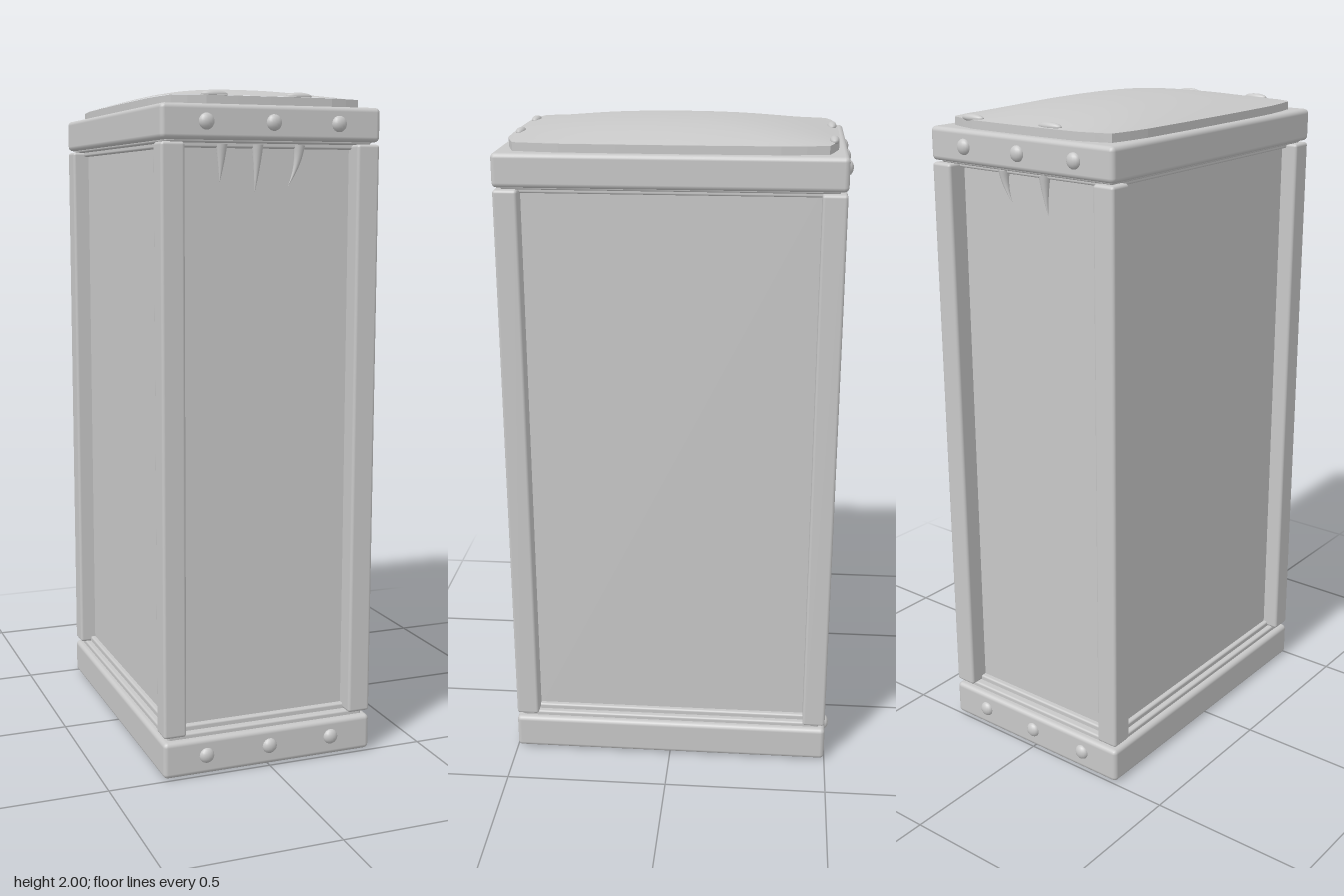
import * as THREE from 'three';
import { RoundedBoxGeometry } from 'three/addons/geometries/RoundedBoxGeometry.js';

export function createModel() {
  const model = new THREE.Group();
  const stone = new THREE.MeshStandardMaterial({ color: 0xc8c8c8 });
  stone.name = 'greyStone';

  const add = (name, geometry, x = 0, y = 0, z = 0) => {
    const mesh = new THREE.Mesh(geometry, stone);
    mesh.name = name;
    mesh.position.set(x, y, z);
    model.add(mesh);
    return mesh;
  };
  // Bevelled block spanning y0..y1
  const block = (name, w, d, y0, y1, x = 0, z = 0, r = 0.01) =>
    add(name, new RoundedBoxGeometry(w, y1 - y0, d, 2, r), x, (y0 + y1) / 2, z);

  // Slabs, stepped trims and recessed core
  block('foot', 0.63, 0.96, 0, 0.03, 0, 0, 0.004);
  block('baseSlab', 0.664, 0.998, 0.004, 0.113, 0, 0, 0.014);
  block('baseTrim', 0.625, 0.955, 0.1, 0.127, 0, 0, 0.006);
  block('baseStep', 0.59, 0.91, 0.1, 0.143, 0, 0, 0.006);
  block('core', 0.56, 0.876, 0.11, 1.85, 0, 0, 0.005);
  block('topStep', 0.59, 0.91, 1.815, 1.85, 0, 0, 0.006);
  block('topTrim', 0.625, 0.955, 1.828, 1.85, 0, 0, 0.006);
  block('topSlab', 0.664, 0.998, 1.835, 1.932, 0, 0, 0.014);

  // Corner posts
  for (const sx of [-1, 1])
    for (const sz of [-1, 1])
      block('cornerPost', 0.07, 0.071, 0.126, 1.829, sx * 0.296, sz * 0.462, 0.009);

  // Rivets on the front and back of both slabs
  for (const sz of [-1, 1])
    for (const y of [0.062, 1.884])
      for (const x of [-0.2, 0, 0.2])
        add('rivet', new THREE.SphereGeometry(0.023, 16, 10), x, y, sz * 0.498).scale.z = 0.7;

  // Cushioned lid: one quarter outline, mirrored all round
  const quarter = [[0.308, 0], [0.307, 0.15], [0.304, 0.31], [0.296, 0.38], [0.285, 0.443],
    [0.24, 0.458], [0.19, 0.471], [0.1, 0.474], [0, 0.475]];
  const back = quarter.slice(0, -1).reverse().map(([x, z]) => [-x, z]);
  const half = [...quarter, ...back];
  const outline = [...half, ...half.slice(1, -1).reverse().map(([x, z]) => [x, -z])];

  const rimShape = new THREE.Shape(outline.map(([x, z]) => new THREE.Vector2(x, z)));
  const rim = new THREE.ExtrudeGeometry(rimShape, { depth: 0.03, bevelEnabled: false });
  rim.rotateX(-Math.PI / 2);
  add('lidRim', rim, 0, 1.926, 0);

  // Lid top: rings of the outline shrinking inwards, arched both ways
  const arch = (v, limit) => 1 - Math.pow(Math.min(Math.abs(v) / limit, 1), 2.4);
  const rings = 12, n = outline.length, pos = [], idx = [];
  for (let i = 0; i <= rings; i++) {
    const s = 1 - i / rings;
    for (const [x, z] of outline)
      pos.push(x * s, 1.956 + 0.044 * arch(x * s, 0.31) * arch(z * s, 0.477), z * s);
  }
  for (let i = 0; i < rings; i++)
    for (let j = 0; j < n; j++) {
      const a = i * n + j, b = i * n + (j + 1) % n;
      idx.push(a, a + n, b);
      if (i < rings - 1) idx.push(b, a + n, b + n);
    }
  const dome = new THREE.BufferGeometry();
  dome.setAttribute('position', new THREE.Float32BufferAttribute(pos, 3));
  dome.setIndex(idx);
  dome.computeVertexNormals();
  add('lidTop', dome);

  // Small flat studs along the lid ends
  for (const [x, z] of [[-0.16, 0.453], [0.095, 0.453], [-0.085, -0.457], [0.2, -0.457]])
    add('lidStud', new THREE.SphereGeometry(0.04, 18, 10), x, 1.96, z).scale.set(1, 0.28, 0.34);

  // Curved fangs hanging below the top slab
  const fang = (x, z, length, bend) => {
    const g = new THREE.ConeGeometry(0.017, length, 12, 8);
    g.rotateX(Math.PI);
    const p = g.attributes.position;
    for (let i = 0; i < p.count; i++) {
      const t = 0.5 - p.getY(i) / length;
      p.setX(i, p.getX(i) + bend * t * t);
    }
    g.computeVertexNormals();
    add('fang', g, x, 1.825 - length / 2, z);
  };
  fang(-0.138, 0.45, 0.108, -0.006);
  fang(-0.03, 0.45, 0.134, -0.008);
  fang(0.098, 0.45, 0.115, -0.034);
  fang(0.095, -0.45, 0.092, -0.03);
  fang(-0.055, -0.45, 0.115, -0.012);

  return model;
}
